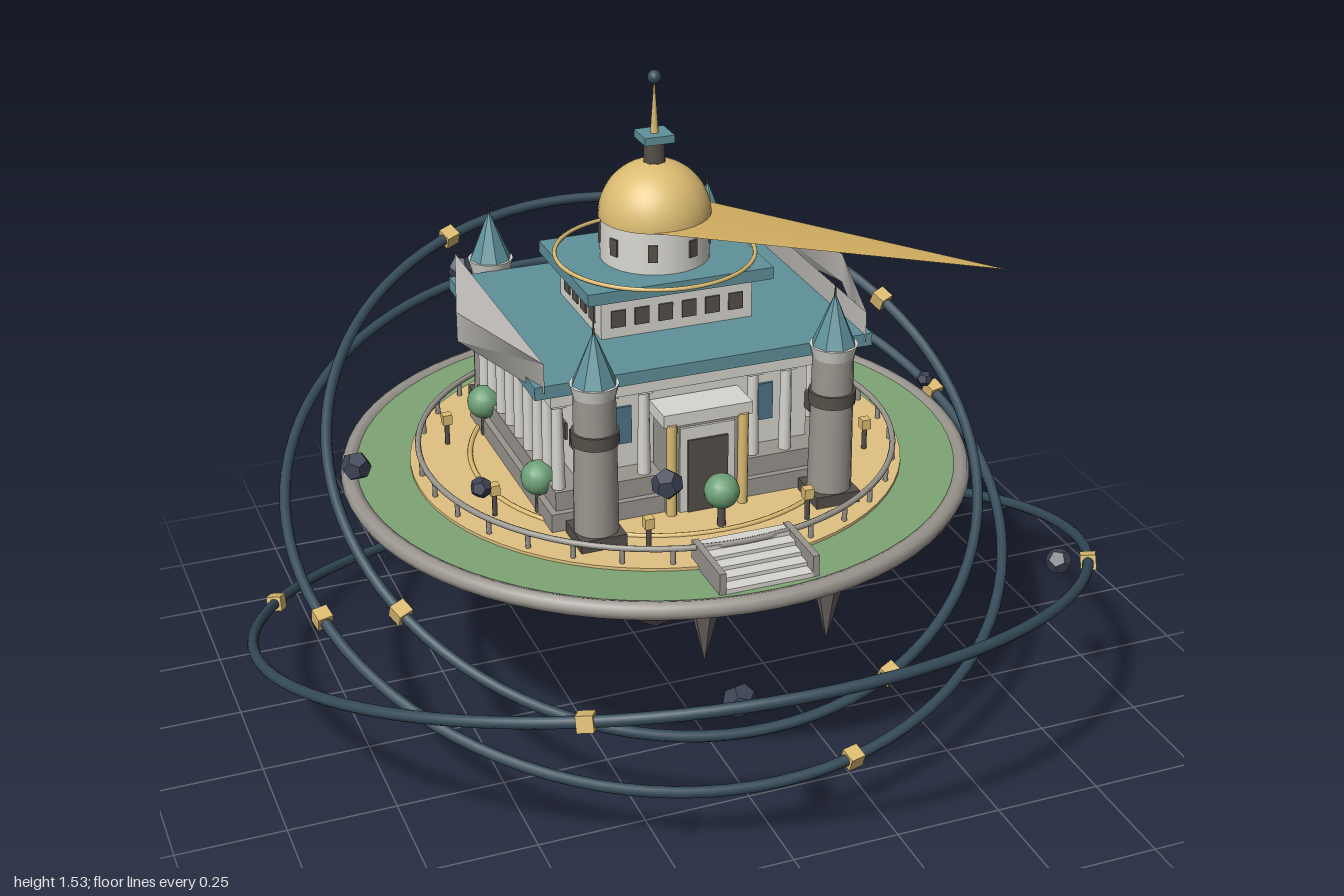
import * as THREE from 'three';

const mat = (color, flat = false, side = THREE.FrontSide) =>
  new THREE.MeshStandardMaterial({ color, flatShading: flat, side });
const M = {
  white: mat(0xd8d6d0), stone: mat(0x9a958e), dark: mat(0x57504a), rock: mat(0x696260, true),
  teal: mat(0x5f919b), tealFlat: mat(0x5f919b, true), gold: mat(0xdcbc72), goldFlat: mat(0xd0ac60, true),
  sand: mat(0xdfc182), grass: mat(0x7ea475), leaf: mat(0x6da077), ring: mat(0x344a58),
  meteor: mat(0x3d4354, true), glass: mat(0x4f7486), slab: mat(0xbdbab6, false, THREE.DoubleSide),
};

export function createModel() {
  const root = new THREE.Group();
  const island = new THREE.Group();
  island.name = 'island';
  island.position.z = -0.09;
  root.add(island);

  const add = (name, geo, m, x = 0, y = 0, z = 0, parent = island) => {
    const mesh = new THREE.Mesh(geo, m);
    mesh.name = name;
    mesh.position.set(x, y, z);
    parent.add(mesh);
    return mesh;
  };
  // box and cylinder placed by their bottom and top heights
  const box = (name, m, w, d, y0, y1, x = 0, z = 0) =>
    add(name, new THREE.BoxGeometry(w, y1 - y0, d), m, x, (y0 + y1) / 2, z);
  const cyl = (name, m, r0, r1, y0, y1, x = 0, z = 0, n = 16) =>
    add(name, new THREE.CylinderGeometry(r1, r0, y1 - y0, n), m, x, (y0 + y1) / 2, z);
  const hoop = (name, m, r, tube, y) => {
    const t = add(name, new THREE.TorusGeometry(r, tube, 8, 72), m, 0, y, 0);
    t.rotation.x = Math.PI / 2;
    return t;
  };

  // floating rock, rim and ground
  const rockGeo = new THREE.LatheGeometry(
    [[0, 0.115], [0.2, 0.265], [0.45, 0.45], [0.705, 0.585]].map(p => new THREE.Vector2(...p)), 14);
  const rp = rockGeo.attributes.position;
  for (let i = 0; i < rp.count; i++) {
    const x = rp.getX(i), z = rp.getZ(i), r = Math.hypot(x, z);
    if (r < 0.1 || r > 0.6) continue;
    const k = 1 + 0.05 * Math.sin(5 * Math.atan2(z, x) + r * 9);
    rp.setXYZ(i, x * k, rp.getY(i), z * k);
  }
  add('rock', rockGeo, M.rock);
  const spikes = [[-0.43, 0.335, -0.37, 0.17], [-0.05, 0.285, 0.44, 0.17], [0.27, 0.25, 0.4, 0.17],
    [0.3, 0.215, 0.32, 0.21], [0.355, 0.28, 0.2, 0.15], [0.18, 0.33, -0.36, 0.14]];
  for (const [x, y, z, h] of spikes)
    add('hangingSpike', new THREE.ConeGeometry(0.04, h, 6), M.rock, x, y + h / 2, z).rotation.x = Math.PI;
  hoop('rim', M.stone, 0.715, 0.021, 0.592);
  cyl('grass', M.grass, 0.71, 0.71, 0.58, 0.605, 0, 0, 64);
  cyl('plaza', M.sand, 0.575, 0.575, 0.6, 0.612, 0, 0, 64);
  hoop('plazaInlay', M.gold, 0.435, 0.006, 0.613);
  hoop('railing', M.stone, 0.555, 0.007, 0.648);
  for (let i = 0; i < 32; i++) {
    const a = (i + 0.5) / 32 * Math.PI * 2;
    cyl('railPost', M.stone, 0.006, 0.006, 0.61, 0.648, 0.555 * Math.sin(a), 0.555 * Math.cos(a), 6);
  }
  for (let i = 0; i < 8; i++) {
    const a = (i + 0.5) / 8 * Math.PI * 2, x = 0.49 * Math.sin(a), z = 0.49 * Math.cos(a);
    cyl('lampPost', M.dark, 0.006, 0.006, 0.61, 0.67, x, z, 6);
    box('lamp', M.gold, 0.022, 0.022, 0.665, 0.69, x, z);
  }
  for (let i = 0; i < 6; i++) {
    const a = i / 6 * Math.PI * 2, x = 0.41 * Math.sin(a), z = 0.41 * Math.cos(a);
    cyl('trunk', M.dark, 0.01, 0.008, 0.61, 0.68, x, z, 6);
    add('shrub', new THREE.SphereGeometry(0.04, 14, 10), M.leaf, x, 0.697, z);
  }

  // front steps between cheek walls
  for (let i = 0; i < 5; i++) box('step', M.white, 0.2, 0.034, 0.6, 0.652 - i * 0.009, 0, 0.54 + i * 0.031);
  for (const s of [-1, 1]) box('stepWall', M.stone, 0.015, 0.16, 0.6, 0.655, s * 0.107, 0.6);

  // hall: base, inner walls, colonnade, entablature and roof
  box('hallBase', M.stone, 0.72, 0.62, 0.61, 0.655);
  box('hallPlinth', M.stone, 0.69, 0.59, 0.655, 0.7);
  box('hallWalls', M.white, 0.56, 0.46, 0.7, 0.93);
  const column = (x, z) => {
    cyl('column', M.white, 0.015, 0.012, 0.7, 0.91, x, z, 10);
    box('capital', M.white, 0.034, 0.034, 0.9, 0.915, x, z);
  };
  for (const s of [-1, 1]) {
    for (let i = 0; i < 9; i++) column(s * 0.33, -0.272 + i * 0.068);
    for (const x of [-0.21, -0.13, 0.13, 0.21]) column(x, s * 0.272);
    for (let i = 0; i < 8; i++) box('sideWindow', M.dark, 0.01, 0.04, 0.77, 0.81, s * 0.281, -0.238 + i * 0.068);
    for (const x of [-0.17, 0.17]) box('endWindow', M.glass, 0.05, 0.01, 0.76, 0.85, x, s * 0.231);
  }
  for (const x of [-0.05, 0.05]) column(x, -0.272);
  box('entablature', M.white, 0.71, 0.61, 0.912, 0.948);
  box('mainRoof', M.teal, 0.79, 0.645, 0.945, 0.975);

  // entrance portal
  box('portal', M.stone, 0.19, 0.08, 0.61, 0.845, 0, 0.28);
  box('portalFrieze', M.white, 0.21, 0.09, 0.83, 0.86, 0, 0.285);
  box('doorFrame', M.white, 0.13, 0.012, 0.61, 0.82, 0, 0.32);
  box('door', M.dark, 0.095, 0.012, 0.61, 0.79, 0, 0.325);
  for (const s of [-1, 1]) cyl('goldColumn', M.gold, 0.012, 0.012, 0.61, 0.835, s * 0.085, 0.326, 10);

  // flat triangular gables projecting over both flanks
  for (const s of [-1, 1]) {
    const g = new THREE.CylinderGeometry(1, 1, 0.07, 3, 1, s > 0);
    g.rotateY(s * Math.PI / 2);
    const gable = add('sideGable', g, M.slab, s * 0.407, 0.995, 0);
    gable.scale.set(0.063, 1, 0.381);
  }

  // corner towers
  for (const sx of [-1, 1]) for (const sz of [-1, 1]) {
    const x = sx * 0.278, z = sz * 0.37;
    box('towerPlinth', M.dark, 0.105, 0.105, 0.61, 0.64, x, z);
    cyl('towerShaft', M.stone, 0.05, 0.046, 0.64, 0.97, x, z);
    cyl('towerBand', M.dark, 0.053, 0.053, 0.85, 0.88, x, z);
    cyl('towerCrown', M.white, 0.046, 0.054, 0.96, 0.99, x, z);
    cyl('towerRoof', M.tealFlat, 0.052, 0.004, 0.985, 1.1, x, z, 8);
    cyl('towerSpire', M.dark, 0.004, 0.001, 1.09, 1.13, x, z, 6);
  }

  // upper storey
  box('upperStorey', M.white, 0.36, 0.28, 0.97, 1.075);
  for (const s of [-1, 1]) {
    for (let i = 0; i < 6; i++) box('upperWindow', M.dark, 0.034, 0.008, 1.0, 1.04, -0.14 + i * 0.056, s * 0.14);
    for (let i = 0; i < 4; i++) box('upperWindow', M.dark, 0.008, 0.034, 1.0, 1.04, s * 0.18, -0.084 + i * 0.056);
  }
  box('upperRoof', M.teal, 0.44, 0.34, 1.072, 1.1);
  hoop('upperHoop', M.gold, 0.227, 0.005, 1.108);

  // drum, dome and lantern
  cyl('drum', M.white, 0.125, 0.122, 1.1, 1.205, 0, 0, 32);
  for (let i = 0; i < 8; i++) {
    const a = (i + 0.5) / 8 * Math.PI * 2;
    box('drumWindow', M.dark, 0.022, 0.01, 1.13, 1.17, 0.122 * Math.sin(a), 0.122 * Math.cos(a)).rotation.y = a;
  }
  add('dome', new THREE.SphereGeometry(0.128, 32, 14, 0, Math.PI * 2, 0, Math.PI / 2), M.gold, 0, 1.198, 0);
  cyl('lantern', M.dark, 0.026, 0.026, 1.31, 1.375, 0, 0, 8);
  box('lanternCap', M.teal, 0.07, 0.07, 1.372, 1.39);
  cyl('spire', M.gold, 0.01, 0.002, 1.39, 1.5, 0, 0, 8);
  add('finial', new THREE.SphereGeometry(0.016, 12, 8), M.ring, 0, 1.517, 0);

  // flat ribbed gold ray reaching out from the dome
  const rayGeo = new THREE.ConeGeometry(0.125, 0.82, 20);
  rayGeo.translate(0, 0.41, 0).rotateX(Math.PI / 2).scale(1, 0.03, 1);
  add('ray', rayGeo, M.goldFlat, 0, 1.2, 0).rotation.y = Math.PI / 4;

  // tilted orbit hoops with gold beads: radius, y, z, tilt, first bead angle
  const orbits = [[0.985, 0.29, 0, -16, 30], [0.862, 0.455, -0.137, 20, 78], [0.772, 0.626, -0.07, 28.5, 66]];
  const rad = THREE.MathUtils.degToRad;
  for (const [r, y, z, tilt, first] of orbits) {
    const orbit = new THREE.Group();
    orbit.name = 'orbit';
    orbit.position.set(0, y, z);
    orbit.rotation.x = rad(tilt);
    root.add(orbit);
    add('orbitHoop', new THREE.TorusGeometry(r, 0.013, 10, 96), M.ring, 0, 0, 0, orbit).rotation.x = Math.PI / 2;
    for (let i = 0; i < 4; i++) {
      const a = rad(first + 90 * i);
      add('orbitBead', new THREE.BoxGeometry(0.036, 0.036, 0.036), M.gold,
        r * Math.cos(a), 0, r * Math.sin(a), orbit).rotation.y = -a;
    }
  }

  // drifting stones: x, y, z, radius
  const stones = [[-0.77, 0.82, 0.15, 0.033], [-0.58, 0.877, 0.44, 0.023], [-0.215, 0.867, 0.545, 0.034],
    [-0.15, 0.475, 0.79, 0.037], [0.785, 0.43, 0.455, 0.031], [0.645, 0.725, 0.02, 0.019],
    [0.695, 0.547, 0.05, 0.032], [-0.225, 0.78, -0.9, 0.038], [-0.46, 0.44, -0.68, 0.03], [0.13, 0.82, -0.73, 0.024]];
  stones.forEach(([x, y, z, r], i) =>
    add('driftingStone', new THREE.DodecahedronGeometry(r), M.meteor, x, y, z, root).rotation.set(i, i * 2, 0));

  return root;
}
